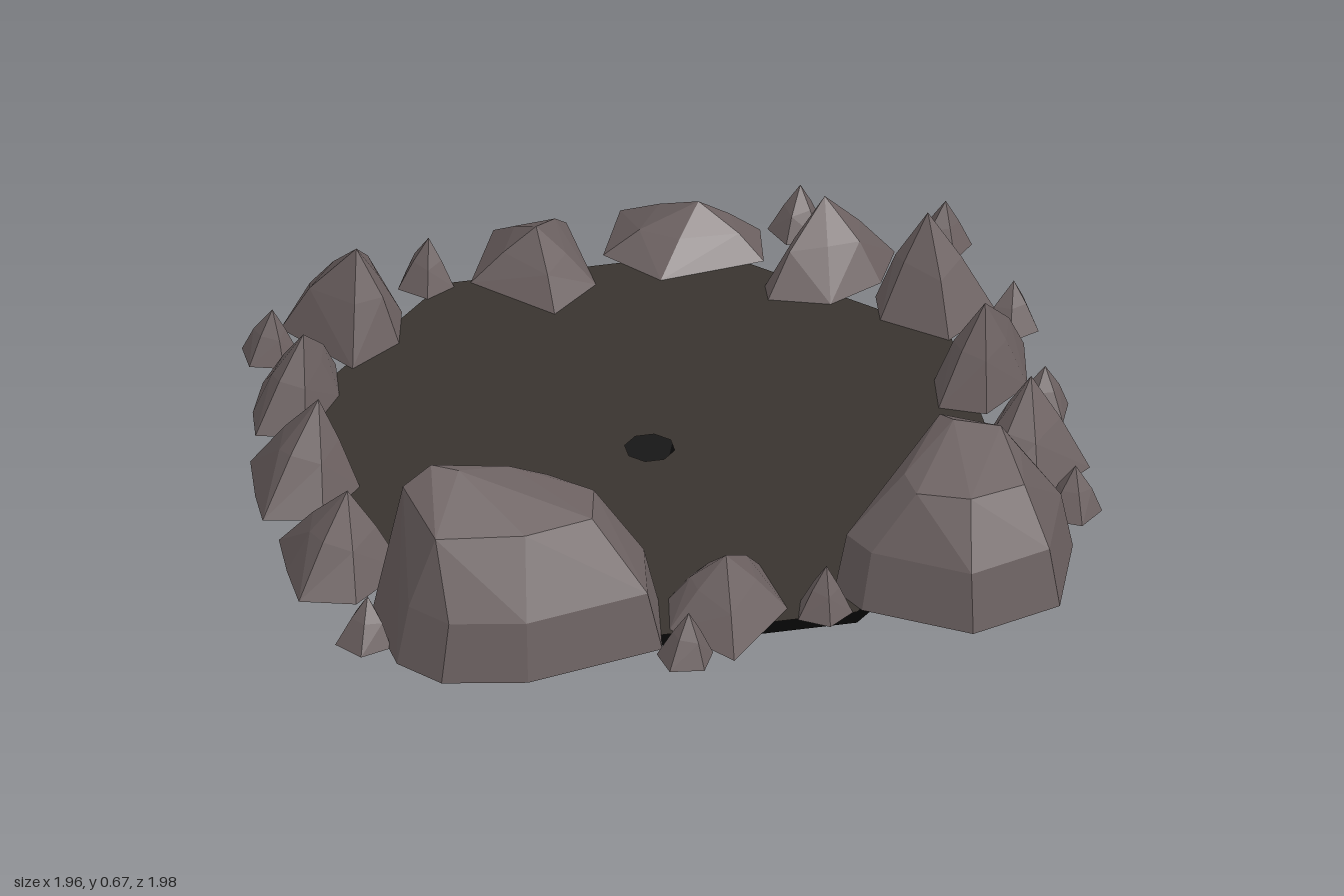
import * as THREE from 'three';
import { ConvexGeometry } from 'three/addons/geometries/ConvexGeometry.js';

const GROUND = 0.25;
const rockMat = new THREE.MeshStandardMaterial({ color: 0x6c6161, flatShading: true });
const floorMat = new THREE.MeshStandardMaterial({ color: 0x39342f, flatShading: true, side: THREE.DoubleSide });
const pitMat = new THREE.MeshStandardMaterial({ color: 0x050505, flatShading: true, side: THREE.DoubleSide });

const V = (x, y, z) => new THREE.Vector3(x, y, z);

function hull(name, points) {
  const mesh = new THREE.Mesh(new ConvexGeometry(points), rockMat);
  mesh.name = name;
  return mesh;
}

// Pointed rock: ground outline [x, z], one peak, and a few bulging shoulders between them
function rock(name, [px, py, pz], outline) {
  const pts = [V(px, py, pz)];
  outline.forEach(([x, z], i) => {
    pts.push(V(x, GROUND, z));
    const t = i % 2 ? 0.38 : 0.5;
    pts.push(V(x + (px - x) * t, GROUND + (py - GROUND) * (i % 2 ? 0.5 : 0.55), z + (pz - z) * t));
  });
  return hull(name, pts);
}

// Steep boulder: ground outline, a slightly inset waist, and its own crown points
function boulder(name, [cx, cz], outline, crown) {
  const pts = crown.map((p) => V(...p));
  for (const [x, z] of outline) {
    pts.push(V(x, GROUND, z));
    pts.push(V(x + (cx - x) * 0.1, 0.4, z + (cz - z) * 0.1));
  }
  return hull(name, pts);
}

export function createModel() {
  const group = new THREE.Group();

  // Octagonal floor with a small central hole
  const floor = new THREE.Mesh(new THREE.RingGeometry(0.06, 0.86, 8, 1, Math.PI / 8), floorMat);
  floor.name = 'floor';
  floor.rotation.x = -Math.PI / 2;
  floor.position.set(-0.027, GROUND, 0.015);
  group.add(floor);

  // Funnel below the floor, open at both ends
  const pit = new THREE.Mesh(new THREE.CylinderGeometry(0.86, 0.008, 0.22, 8, 1, true, Math.PI / 8), pitMat);
  pit.name = 'pitFunnel';
  pit.position.set(-0.027, 0.11, 0.015);
  group.add(pit);

  // Two large boulders at the front corners
  group.add(
    boulder('frontRightBoulder', [-0.5, 0.7],
      [[-0.66, 0.45], [-0.41, 0.455], [-0.31, 0.57], [-0.145, 0.66], [-0.18, 0.87], [-0.52, 0.945],
        [-0.72, 0.905], [-0.805, 0.8], [-0.8, 0.66], [-0.82, 0.58]],
      [[-0.68, 0.665, 0.6], [-0.62, 0.66, 0.63], [-0.49, 0.635, 0.6], [-0.4, 0.6, 0.6], [-0.3, 0.58, 0.66],
        [-0.33, 0.58, 0.78], [-0.5, 0.58, 0.82], [-0.71, 0.58, 0.79], [-0.75, 0.62, 0.61], [-0.65, 0.57, 0.53]]),
    boulder('frontLeftBoulder', [0.57, 0.68],
      [[0.59, 0.45], [0.755, 0.49], [0.86, 0.635], [0.775, 0.885], [0.55, 0.96],
        [0.315, 0.805], [0.27, 0.705], [0.375, 0.565], [0.53, 0.5]],
      [[0.58, 0.62, 0.6], [0.69, 0.6, 0.62], [0.56, 0.6, 0.54], [0.44, 0.55, 0.7], [0.73, 0.55, 0.65],
        [0.45, 0.55, 0.79], [0.57, 0.55, 0.84], [0.71, 0.54, 0.79]])
  );

  // Medium rocks around the rim
  group.add(
    rock('frontRock', [0.01, 0.38, 0.7],
      [[-0.045, 0.57], [0.12, 0.56], [0.145, 0.76], [-0.025, 0.955], [-0.145, 0.79], [-0.12, 0.66]]),
    rock('backRock', [-0.13, 0.38, -0.78],
      [[-0.19, -0.98], [-0.015, -0.975], [-0.003, -0.7], [-0.125, -0.595], [-0.29, -0.77]]),
    rock('backLeftRock', [0.27, 0.37, -0.82],
      [[0.12, -1.0], [0.27, -0.95], [0.425, -0.85], [0.405, -0.715], [0.15, -0.685], [0.04, -0.82]]),
    rock('backLeftCornerRock', [0.54, 0.45, -0.66],
      [[0.385, -0.61], [0.62, -0.765], [0.715, -0.69], [0.655, -0.565], [0.52, -0.5], [0.38, -0.55]]),
    rock('backRightCornerRock', [-0.6, 0.49, -0.61],
      [[-0.66, -0.85], [-0.505, -0.845], [-0.475, -0.68], [-0.51, -0.55], [-0.64, -0.465], [-0.77, -0.67]]),
    rock('rightRearRock', [-0.79, 0.46, -0.32],
      [[-0.86, -0.45], [-0.675, -0.49], [-0.695, -0.36], [-0.81, -0.2], [-0.925, -0.23], [-0.91, -0.33]]),
    rock('rightMiddleRock', [-0.82, 0.48, -0.01],
      [[-0.96, -0.125], [-0.795, -0.15], [-0.73, 0.035], [-0.845, 0.16], [-0.985, 0.13], [-0.98, 0.025]]),
    rock('rightFrontRock', [-0.83, 0.46, 0.36],
      [[-0.965, 0.22], [-0.795, 0.21], [-0.7, 0.405], [-0.845, 0.53], [-0.975, 0.49], [-0.975, 0.355]]),
    rock('leftRearRock', [0.75, 0.49, -0.48],
      [[0.685, -0.6], [0.805, -0.62], [0.895, -0.395], [0.76, -0.29], [0.62, -0.41], [0.63, -0.51]]),
    rock('leftMiddleRock', [0.8, 0.49, -0.07],
      [[0.76, -0.24], [0.93, -0.24], [0.9, -0.06], [0.78, 0.04], [0.675, -0.01], [0.69, -0.13]]),
    rock('leftFrontRock', [0.84, 0.49, 0.26],
      [[0.76, 0.13], [0.895, 0.115], [0.97, 0.315], [0.82, 0.435], [0.695, 0.4], [0.7, 0.28]])
  );

  // Small pebbles scattered along the outside
  const pebbles = [[-0.82, -0.565], [-0.395, -0.79], [0.51, -0.83], [0.83, -0.69], [0.915, -0.32],
    [0.91, 0.055], [0.89, 0.49], [-0.86, 0.69], [-0.135, 0.92], [0.225, 0.79]];
  pebbles.forEach(([x, z], i) => {
    const outline = [];
    for (let k = 0; k < 5; k++) {
      const a = (k / 5) * Math.PI * 2 + i * 0.45;
      outline.push([x + 0.07 * Math.cos(a), z + 0.07 * Math.sin(a)]);
    }
    group.add(rock('pebble' + (i + 1), [x + 0.01, 0.37, z - 0.01], outline));
  });

  return group;
}
